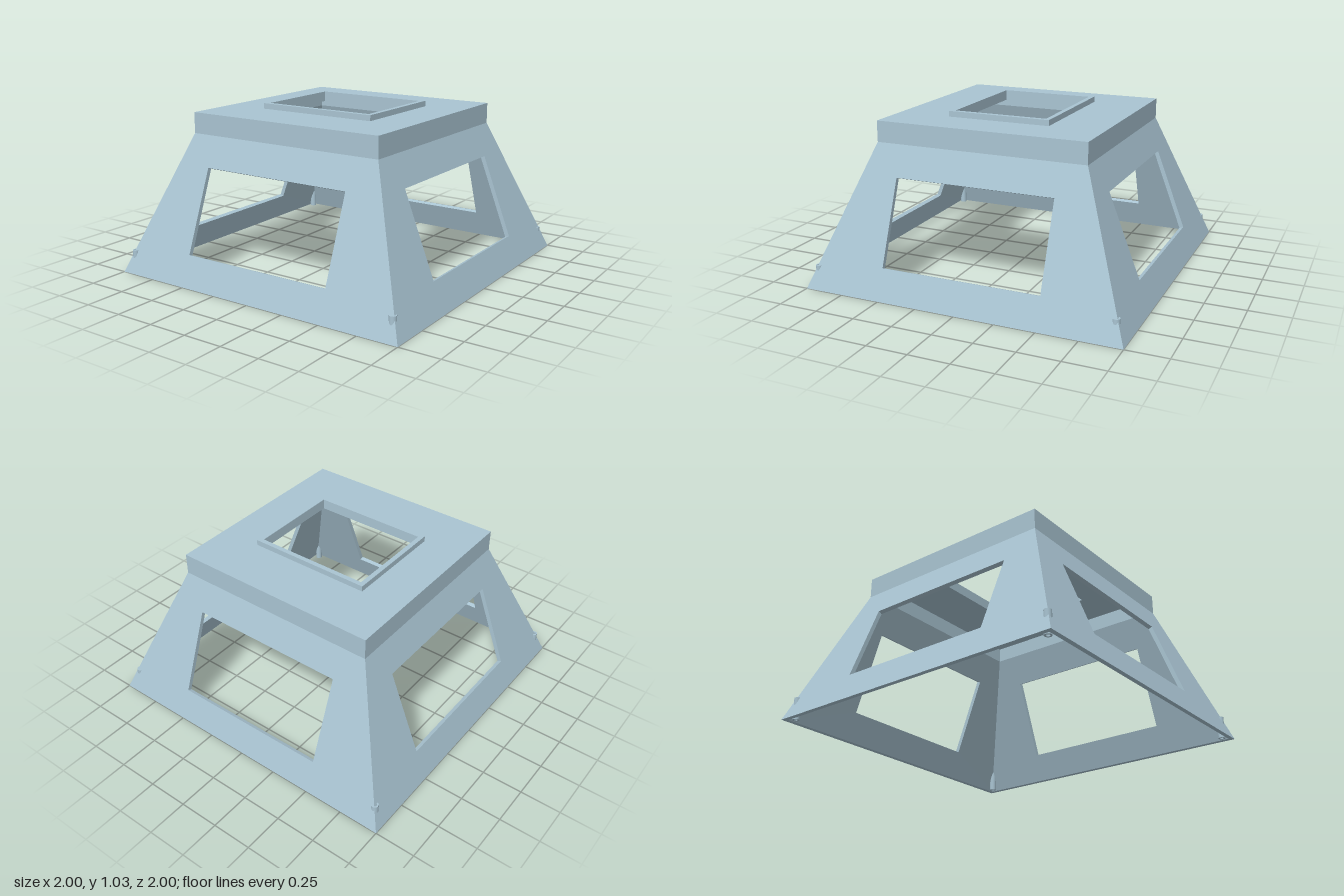
import * as THREE from 'three';

const T = 0.029;          // wall thickness, measured horizontally
const SHOULDER = 0.87;    // height where the slope turns vertical
const ROOF = 0.97;        // underside of the roof plate
const TOP = 0.665;        // half width of the roof

// half width of the shell at a given height
const half = (y) => (y < SHOULDER ? 1 - ((1 - TOP) * y) / SHOULDER : TOP);

function rect(Type, w, h, cy = 0) {
  return new Type([[-w, cy - h], [w, cy - h], [w, cy + h], [-w, cy + h]]
    .map(([x, y]) => new THREE.Vector2(x, y)));
}

// Extrudes a wall outline and leans it onto the shell, mitring the inner corners.
function wallGeometry(y0, y1, hole) {
  const shape = new THREE.Shape([
    new THREE.Vector2(-half(y0), y0), new THREE.Vector2(half(y0), y0),
    new THREE.Vector2(half(y1), y1), new THREE.Vector2(-half(y1), y1),
  ]);
  if (hole) shape.holes.push(hole);
  const geo = new THREE.ExtrudeGeometry(shape, { depth: 1, bevelEnabled: false });
  const p = geo.attributes.position;
  for (let i = 0; i < p.count; i++) {
    const x = p.getX(i), y = p.getY(i), h = half(y);
    const inner = p.getZ(i) < 0.5;
    const onWindow = hole && y > 0.1 && y < 0.75;
    if (!inner) p.setZ(i, h);
    else if (onWindow) p.setXYZ(i, x, y - 0.01, h - 0.025); // reveal square to the slope
    else p.setXYZ(i, (x * (h - T)) / h, y, h - T);
  }
  geo.computeVertexNormals();
  return geo;
}

// Flat plate with a rectangular opening, lying at height y
function framePlate(w, d, holeW, holeD, y, thickness) {
  const shape = rect(THREE.Shape, w, d);
  shape.holes.push(rect(THREE.Path, holeW, holeD));
  const geo = new THREE.ExtrudeGeometry(shape, { depth: thickness, bevelEnabled: false });
  geo.rotateX(-Math.PI / 2);
  geo.translate(0, y, 0);
  return geo;
}

export function createModel() {
  const model = new THREE.Group();
  model.name = 'shelterShell';
  const paint = new THREE.MeshStandardMaterial({ color: 0xa9c4d2 });
  paint.name = 'paleBlueGrey';

  const add = (name, geo) => {
    const mesh = new THREE.Mesh(geo, paint);
    mesh.name = name;
    model.add(mesh);
    return mesh;
  };

  // Four sloped walls with windows, and the upright band above them
  const slope = wallGeometry(0, SHOULDER, rect(THREE.Path, 0.5, 0.25, 0.435));
  const band = wallGeometry(SHOULDER, ROOF);
  ['front', 'left', 'back', 'right'].forEach((side, i) => {
    add(side + 'Wall', slope).rotation.y = (i * Math.PI) / 2;
    add(side + 'Band', band).rotation.y = (i * Math.PI) / 2;
  });

  // Roof and the raised rim around its opening
  add('roof', framePlate(TOP, TOP, 0.365, 0.295, ROOF, 0.03));
  add('hatchRim', framePlate(0.395, 0.325, 0.365, 0.295, 1, 0.035));

  // Hollow fixing posts in the bottom corners
  const post = new THREE.LatheGeometry(
    [[0.012, 0], [0.022, 0], [0.022, 0], [0.022, 0.14], [0.022, 0.14], [0.012, 0.14],
      [0.012, 0.14], [0.012, 0]].map(([r, y]) => new THREE.Vector2(r, y)), 20);
  for (const x of [-0.943, 0.936]) {
    for (const z of [-0.936, 0.943]) {
      add((z > 0 ? 'front' : 'back') + (x > 0 ? 'Left' : 'Right') + 'Post', post)
        .position.set(x, 0, z);
    }
  }
  return model;
}
